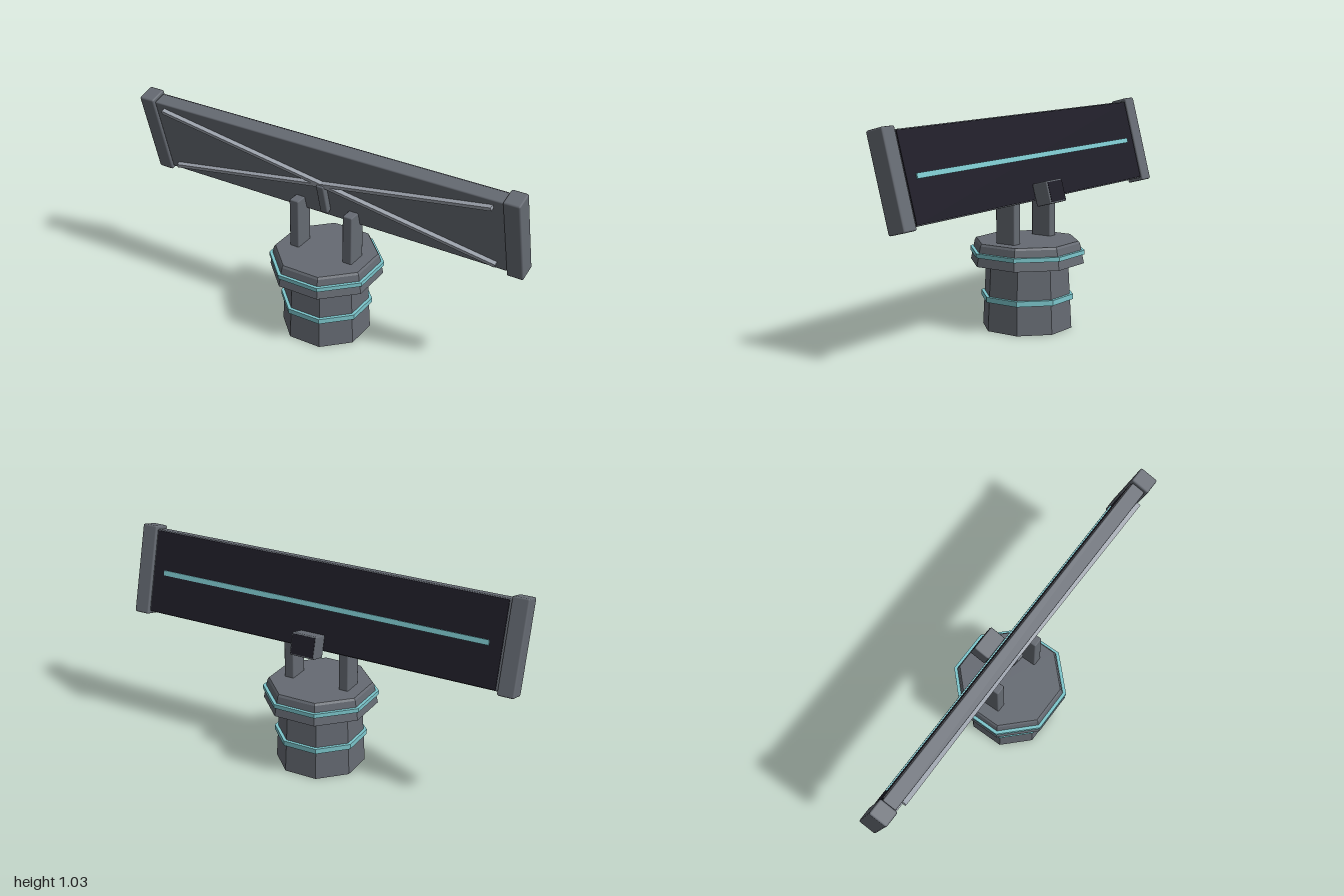
import * as THREE from 'three';
import { RoundedBoxGeometry } from 'three/addons/geometries/RoundedBoxGeometry.js';

const mat = (name, color, extra = {}) => {
  const m = new THREE.MeshStandardMaterial({ color, ...extra });
  m.name = name;
  return m;
};

export function createModel() {
  const steel = mat('steel grey', 0x656a72);
  const shell = mat('shell grey', 0x656a72, { side: THREE.DoubleSide, flatShading: true });
  const light = mat('light grey', 0x9aa0aa);
  const dark = mat('dark face', 0x1f1d28);
  const teal = mat('teal trim', 0x7cc6cc, { flatShading: true });

  const model = new THREE.Group();
  const add = (parent, name, geo, m, x = 0, y = 0, z = 0) => {
    const mesh = new THREE.Mesh(geo, m);
    mesh.name = name;
    mesh.position.set(x, y, z);
    parent.add(mesh);
    return mesh;
  };
  const bevelBox = (w, h, d, r = 0.006) => new RoundedBoxGeometry(w, h, d, 1, r);

  // Octagonal shells and rings, sized by the distance to their flat sides
  const C = Math.cos(Math.PI / 8);
  const octagon = (profile) => {
    const pts = profile.map(([r, y]) => new THREE.Vector2(r / C, y));
    return new THREE.LatheGeometry(pts, 8, Math.PI / 8);
  };
  const ring = (inner, outer, y0, y1) =>
    octagon([[inner, y0], [outer, y0], [outer, y1], [inner, y1], [inner, y0]]);

  // Pedestal: open tapered base, overhanging collar and trim rings
  add(model, 'base', octagon([[0.2, 0], [0.184, 0.33]]), shell);
  add(model, 'collar', octagon([[0.254, 0.315], [0.236, 0.41], [0.229, 0.42], [0, 0.42]]), shell);
  add(model, 'baseRing', ring(0.186, 0.207, 0.14, 0.165), teal);
  add(model, 'collarRing', ring(0.232, 0.257, 0.358, 0.378), teal);

  // Support arms
  for (const s of [-1, 1]) {
    add(model, 'supportArm', bevelBox(0.05, 0.26, 0.106), steel, s * 0.146, 0.54, 0.004);
  }

  // Tilted antenna
  const antenna = new THREE.Group();
  antenna.name = 'antenna';
  antenna.position.set(0, 0.807, 0);
  antenna.rotation.x = Math.PI / 12;
  model.add(antenna);
  add(antenna, 'panel', bevelBox(1.84, 0.41, 0.07), steel);
  add(antenna, 'panelFace', new THREE.BoxGeometry(1.82, 0.4, 0.008), dark, 0, 0, -0.036);
  add(antenna, 'stripe', new THREE.BoxGeometry(1.7, 0.024, 0.008), teal, 0, 0, -0.042);
  for (const s of [-1, 1]) {
    add(antenna, 'endCap', bevelBox(0.08, 0.44, 0.093, 0.008), steel, s * 0.96, 0, 0);
    // Crossed braces on the front
    const brace = add(antenna, 'brace', new THREE.BoxGeometry(1.775, 0.018, 0.022), light, 0, 0, 0.046);
    brace.rotation.z = s * 0.194;
  }
  add(antenna, 'hub', bevelBox(0.04, 0.165, 0.034), steel, 0, -0.082, 0.05);

  // Feed box below the rear face
  const feed = new THREE.Group();
  feed.name = 'feedBox';
  feed.position.set(0, -0.181, -0.084);
  antenna.add(feed);
  add(feed, 'feedBody', bevelBox(0.13, 0.108, 0.083), steel);
  for (const s of [-1, 1]) {
    add(feed, 'feedFace', new THREE.BoxGeometry(0.116, 0.094, 0.004), dark, 0, 0, s * 0.041);
  }
  return model;
}
